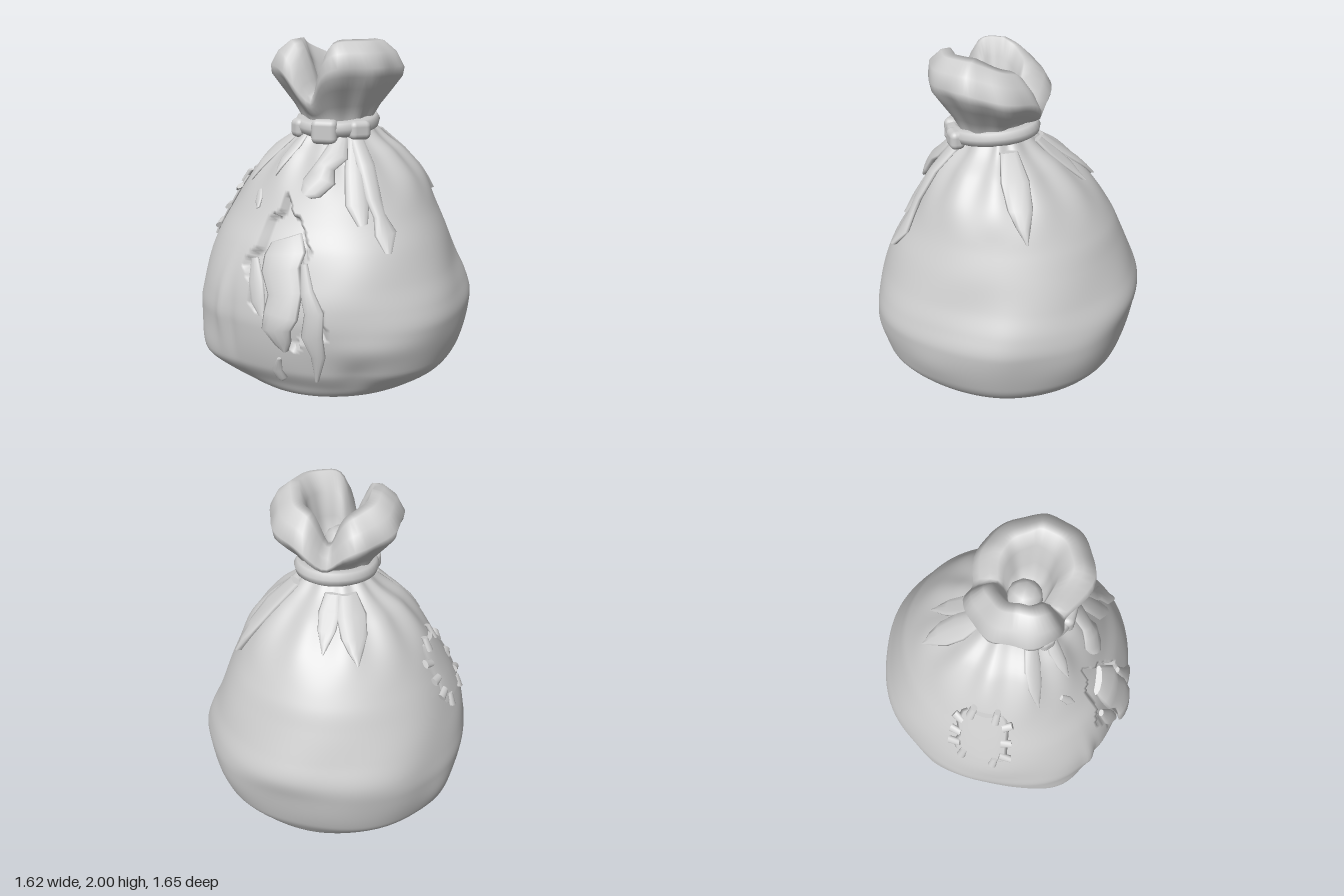
import * as THREE from 'three';
import { RoundedBoxGeometry } from 'three/addons/geometries/RoundedBoxGeometry.js';

// Sack cross-sections: y, -x reach, +x reach, front reach, back reach
const SECTIONS = [
  [0, .5, .53, .58, .57], [.03, .58, .6, .64, .63], [.1, .7, .7, .68, .69],
  [.2, .77, .76, .73, .75], [.45, .81, .81, .77, .805], [.57, .795, .78, .76, .815],
  [.7, .765, .725, .725, .77], [.87, .7, .665, .66, .7], [1, .635, .61, .58, .64],
  [1.2, .52, .52, .47, .5], [1.35, .39, .39, .38, .34], [1.44, .26, .28, .3, .21],
  [1.52, .17, .21, .27, .13],
];
// Ragged opening on the front, as x, y
const TEAR = [
  [-.15, 1.16], [-.09, 1.04], [-.05, 1.03], [.04, .88], [.0, .8], [.03, .66], [.13, .6],
  [.16, .42], [.06, .44], [-.02, .34], [-.11, .42], [-.17, .53], [-.28, .56],
  [-.27, .67], [-.35, .77], [-.27, .87], [-.24, 1.0], [-.17, 1.06],
];
// Bulges and creases in the cloth: angle, y, angular size, height, depth
const DENTS = [
  [-.85, .18, .25, .16, .055], [-.62, .5, .05, .2, .02], [-.54, .45, .05, .25, -.015],
  [.42, .18, .14, .09, -.03], [.5, .36, .3, .08, .02],
  [1.3, .3, .2, .12, .012], [1.9, .5, .15, .3, .01], [2.5, .35, .25, .15, .015],
  [-2.4, .4, .2, .2, .015], [-1.6, .25, .2, .1, -.012], [-2.0, .3, .15, .12, .015], [3.1, .6, .3, .12, .012],
];

const smooth = THREE.MathUtils.smoothstep;
const wrap = a => Math.atan2(Math.sin(a), Math.cos(a));

// Smoothly interpolated cross-section at a height
function reach(y) {
  const last = SECTIONS.length - 1;
  let i = 0;
  while (i < last - 1 && SECTIONS[i + 1][0] < y) i++;
  const slope = (j, k) => {
    const p = SECTIONS[Math.max(j - 1, 0)], q = SECTIONS[Math.min(j + 1, last)];
    return (q[k] - p[k]) / (q[0] - p[0]);
  };
  const a = SECTIONS[i], b = SECTIONS[i + 1], h = b[0] - a[0];
  const t = THREE.MathUtils.clamp((y - a[0]) / h, 0, 1), s = t * t * (3 - 2 * t);
  return a.map((v, k) => v + (b[k] - v) * s
    + h * t * (1 - t) * ((1 - t) * slope(i, k) - t * slope(i + 1, k)));
}

// Point on the sack; angle 0 is the front and +90 degrees is +x
function at(angle, y, out = 0) {
  const [, l, r, f, b] = reach(y), s = Math.sin(angle), c = Math.cos(angle);
  const belly = smooth(y, 0, .2) * (1 - smooth(y, .7, 1.2));
  let k = 1 + belly * .006 * Math.sin(7 * angle + 2 * Math.sin(5 * y))
    + .04 * smooth(y, 1.05, 1.42) * Math.sin(11 * angle + .6);
  k += (c > 0 ? .055 : .02) * belly * Math.sin(2 * angle) ** 2;
  for (const [da, dy, wa, wy, amp] of DENTS) {
    k += amp * Math.exp(-((wrap(angle - da) / wa) ** 2) - ((y - dy) / wy) ** 2) * smooth(y, 0, .08);
  }
  return new THREE.Vector3(s * ((s < 0 ? l : r) * k + out), y, c * ((c < 0 ? b : f) * k + out));
}

function frontAngle(x, y) {
  const [, l, r] = reach(y);
  return Math.asin(x / (x < 0 ? l : r));
}

function inTear(x, y) {
  let inside = false;
  TEAR.forEach(([ax, ay], i) => {
    const [bx, by] = TEAR[(i + 1) % TEAR.length];
    if ((ay > y) !== (by > y) && x < ax + (bx - ax) * (y - ay) / (by - ay)) inside = !inside;
  });
  return inside;
}

// Skin a stack of closed rings and close both ends
function loft(rings) {
  const n = rings[0].length, pos = [], idx = [];
  rings.forEach(r => r.forEach(p => pos.push(p.x, p.y, p.z)));
  for (let i = 0; i < rings.length - 1; i++) for (let j = 0; j < n; j++) {
    const a = i * n + j, b = i * n + (j + 1) % n;
    idx.push(a, b, a + n, b, b + n, a + n);
  }
  [0, rings.length - 1].forEach(i => {
    const mid = new THREE.Vector3(), c = pos.length / 3;
    rings[i].forEach(p => mid.addScaledVector(p, 1 / n));
    rings[i].forEach(p => pos.push(p.x, p.y, p.z));
    pos.push(mid.x, mid.y, mid.z);
    for (let j = 0; j < n; j++) {
      const a = c + j, b = c + (j + 1) % n;
      idx.push(...(i ? [a, b, c + n] : [b, a, c + n]));
    }
  });
  const g = new THREE.BufferGeometry();
  g.setAttribute('position', new THREE.Float32BufferAttribute(pos, 3));
  g.setIndex(idx);
  g.computeVertexNormals();
  return g;
}

// Cloth strip lying on the sack; rows are angle, y, half width and optional extra lift
function strip(rows, thick = .015, out = .01) {
  return loft(rows.map(([ang, y, w, lift = 0], i) => {
    const p = rows[Math.max(i - 1, 0)], q = rows[Math.min(i + 1, rows.length - 1)];
    const e = reach(y), rad = (e[1] + e[2] + e[3] + e[4]) / 4;
    const dir = new THREE.Vector2((q[0] - p[0]) * rad, q[1] - p[1]).normalize();
    return Array.from({ length: 12 }, (_, k) => {
      const a = k / 12 * Math.PI * 2, s = Math.cos(a) * w;
      return at(ang + s * dir.y / rad, y - s * dir.x, out + lift + thick * Math.sin(a));
    });
  }));
}
const frontStrip = (rows, thick, out) =>
  strip(rows.map(([x, y, ...rest]) => [frontAngle(x, y), y, ...rest]), thick, out);

export function createModel() {
  const group = new THREE.Group();
  const cloth = new THREE.MeshStandardMaterial({ color: 0xcccccc, side: THREE.DoubleSide });
  cloth.name = 'grey cloth';
  const add = (name, geo, x = 0, y = 0, z = 0) => {
    const m = new THREE.Mesh(geo, cloth);
    m.name = name;
    m.position.set(x, y, z);
    group.add(m);
    return m;
  };
  const circle = (n, f) => Array.from({ length: n }, (_, j) => f(j / n * Math.PI * 2));

  // Sack body, sunk inside the tear
  const rings = [];
  for (let i = 0; i <= 90; i++) {
    const y = 1.52 * Math.pow(i / 90, 1.1);
    rings.push(circle(240, a => {
      const p = at(a, y);
      return p.z > 0 && inTear(p.x, y) ? at(a, y, -.05) : p;
    }));
  }
  add('sackBody', loft(rings));

  // Flared mouth with two puffed lobes: radius factor, height
  const mouth = [[.5, 1.46], [.52, 1.55], [.64, 1.63], [.83, 1.73], [.96, 1.8], [1, 1.85], [.87, 1.93],
    [.68, 1.99], [.54, 2], [.44, 1.9], [.36, 1.76], [.28, 1.66], [.12, 1.62]];
  const dip = (a, c, w) => Math.exp(-((wrap(a - c) / w) ** 2));
  add('sackMouth', loft(mouth.map(([r, h], i) => circle(72, a => {
    const front = dip(a, -.36, .32), back = dip(a, Math.PI + .05, .28);
    const up = smooth(h, 1.54, 1.85), behind = Math.max(0, -Math.cos(a));
    const pleat = 1 + .04 * Math.sin(9 * a) * (i < 5 ? 1 : .4);
    const fore = i > 5 && i < 9 ? .1 * Math.max(0, Math.cos(a - .2)) : 0;
    const k = (r + fore) * pleat * (1 - (.3 * front + .12 * back) * up);
    const y = h - Math.max(h - 1.54, 0) * (.65 * front + .38 * back) - .1 * up * behind;
    return new THREE.Vector3(.03 + .385 * k * Math.sin(a), y, .09 + .35 * Math.min(k, 1) * Math.cos(a));
  }))));
  add('innerGather', new THREE.IcosahedronGeometry(.1, 1), 0, 1.68, .08).scale.y = .8;

  // Tie band, knot and loops
  const bandPath = new THREE.CatmullRomCurve3(circle(16, a => new THREE.Vector3(
    .025 + .2 * Math.sin(a), 1.523 - .024 * Math.cos(a), .08 + .235 * Math.cos(a))), true);
  add('tieBand', new THREE.TubeGeometry(bandPath, 40, .048, 8, true));
  add('tieKnot', new RoundedBoxGeometry(.15, .14, .09, 3, .035), .025, 1.49, .325);
  [[-.15, -.7, .1], [.2, .7, .13]].forEach(([x, turn, w]) => {
    add('tieLoop', new RoundedBoxGeometry(w, .11, .09, 3, .035), x, 1.495, .24).rotation.y = turn;
  });

  // Hanging tie ends
  add('shortTieEnd', frontStrip([[.1, 1.46, .03], [.1, 1.38, .06], [.06, 1.32, .05], [.05, 1.26, .075], [0, 1.2, .07], [-.02, 1.17, .04]], .03, .03));
  add('longTieEnd', frontStrip([[.17, 1.45, .04], [.25, 1.32, .05], [.32, 1.15, .045], [.36, 1.06, .035], [.4, .97, .065], [.42, .88, .02]], .022, .025));
  add('middleTieEnd', frontStrip([[.16, 1.45, .035], [.21, 1.28, .05], [.25, 1.12, .065], [.29, 1.02, .03]], .022, .02));

  // Pointed folds below the band: angle, tip height, half width, thickness
  [[2.1, 1.07, .085, .035], [Math.PI + .48, 1.2, .09, .025], [Math.PI + .1, 1.24, .06, .025],
    [-.95, 1.18, .05, .012], [-.5, 1.24, .04, .012]].forEach(([a, tip, w, thick]) => {
    const rows = [[0, .7], [.3, 1], [.6, .85], [.8, .5], [1, .08]];
    add('neckFold', strip(rows.map(([t, k]) => [a, 1.47 + (tip - 1.47) * t, w * k]), thick, .002));
  });

  // Torn cloth hanging in and around the opening
  add('hangingFlap', frontStrip([[-.12, .93, .09, -.04], [-.1, .86, .12, -.01], [-.11, .78, .11, 0], [-.07, .66, .1, .005], [-.08, .55, .1, .02], [-.1, .47, .085, .025], [-.07, .39, .05, .01], [-.06, .34, .015]], .025, .005));
  add('tearFlap', frontStrip([[.02, .82, .02], [.05, .68, .04], [.1, .57, .055], [.09, .44, .06], [.12, .32, .04], [.1, .16, .01]], .018, .004));
  add('tearFlap', frontStrip([[-.27, .82, .02], [-.25, .7, .045], [-.23, .6, .045], [-.2, .53, .02]], .015, .002));
  add('smallTear', frontStrip([[-.1, .29, .01], [-.12, .21, .03], [-.1, .16, .035], [-.1, .14, .01]], .02, .012));
  add('smallTear', frontStrip([[-.34, 1.15, .015], [-.33, 1.1, .025], [-.32, 1.06, .008]], .01, .005));

  // Sewn patch on the -x side, with stitches across its edges
  const side = -Math.PI / 2;
  add('patch', strip([[side, .82, .15], [side, .85, .17], [side + .02, .95, .15], [side, 1.05, .16], [side, 1.13, .14], [side, 1.16, .11]], .016, .01));
  [.88, .98, 1.09].forEach((y, i) => [-1, 1].forEach(s => {
    const a = side + s * .24 + (y - .97) * s * .15;
    add('stitch', strip([[a - .05, y, .022], [a + .05, y + .02 * s * (i - 1), .018]], .018, .02));
  }));
  [.82, 1.16].forEach(y => [-.15, .12].forEach(d => {
    add('stitch', strip([[side + d, y - .035, .025], [side + d + .02, y + .035, .02]], .018, .02));
  }));

  return group;
}
